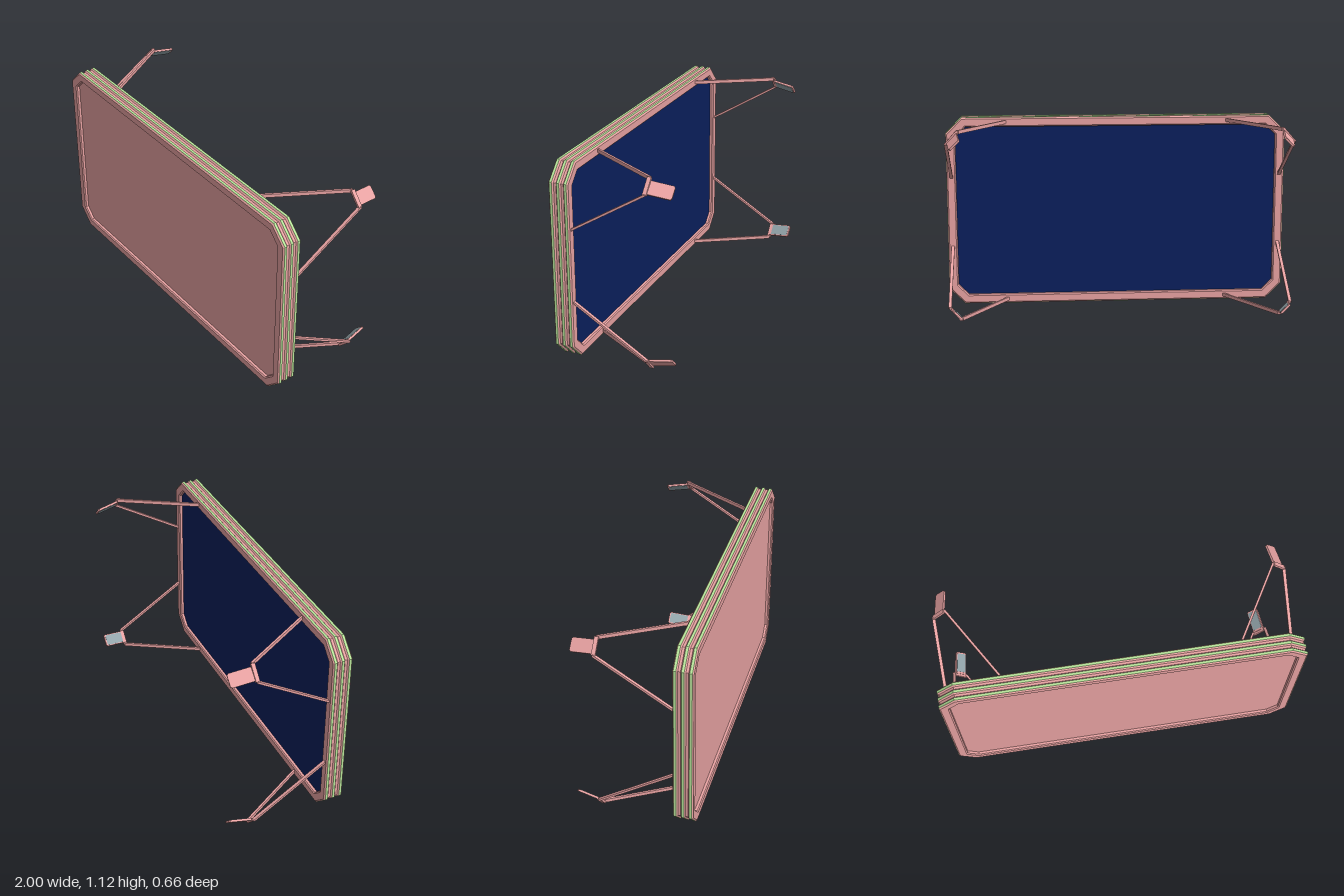
import * as THREE from 'three';

const mat = (color) => new THREE.MeshStandardMaterial({ color, flatShading: true });
const pink = mat(0xe8a2a2), green = mat(0xb9e59b), navy = mat(0x0a1f5c), grey = mat(0x93a5ab);

const MID = 0.56, HALF_W = 0.998, HALF_H = 0.558, CHAMFER = 0.093;

// Corners of the chamfered rectangle, pulled inwards by an even margin
function octagon(inset) {
  const a = HALF_W - inset, b = HALF_H - inset, c = CHAMFER - inset * (2 - Math.SQRT2);
  return [[a, c - b], [a, b - c], [a - c, b], [c - a, b], [-a, b - c], [-a, c - b], [c - a, -b], [a - c, -b]]
    .map(([x, y]) => new THREE.Vector2(x, y + MID));
}

// Skin over octagonal rings given as [inset, z]
function loft(name, rings, material) {
  const pos = [], index = [];
  rings.forEach(([inset, z]) => octagon(inset).forEach((p) => pos.push(p.x, p.y, z)));
  for (let k = 0; k < rings.length - 1; k++) {
    for (let i = 0; i < 8; i++) {
      const a = k * 8 + i, b = k * 8 + (i + 1) % 8, c = a + 8, d = b + 8;
      index.push(a, c, b, b, c, d);
    }
  }
  const geo = new THREE.BufferGeometry();
  geo.setAttribute('position', new THREE.Float32BufferAttribute(pos, 3));
  geo.setIndex(index);
  const flat = geo.toNonIndexed();
  flat.computeVertexNormals();
  const mesh = new THREE.Mesh(flat, material);
  mesh.name = name;
  return mesh;
}

// Places a mesh midway from one point to another: length on z, thickness along the "thin" direction on x
function span(mesh, from, to, thin) {
  const z = to.clone().sub(from).normalize();
  const y = z.clone().cross(thin).normalize();
  const x = y.clone().cross(z);
  mesh.quaternion.setFromRotationMatrix(new THREE.Matrix4().makeBasis(x, y, z));
  mesh.position.copy(from).add(to).multiplyScalar(0.5);
  return mesh;
}

function bar(name, from, to, thin, thickness, width) {
  const mesh = new THREE.Mesh(new THREE.BoxGeometry(thickness, width, from.distanceTo(to)), pink);
  mesh.name = name;
  return span(mesh, from, to, thin);
}

// Flat plate with clipped corners, lying across x
function plate(name, length, width, thickness, clip, material) {
  const l = length / 2, w = width / 2;
  const shape = new THREE.Shape([
    [-l, -w], [l - clip, -w], [l, clip - w], [l, w - clip], [l - clip, w], [-l, w],
  ].map(([x, y]) => new THREE.Vector2(x, y)));
  const geo = new THREE.ExtrudeGeometry(shape, { depth: thickness, bevelEnabled: false });
  geo.translate(0, 0, -thickness / 2).rotateY(-Math.PI / 2);
  const mesh = new THREE.Mesh(geo, material);
  mesh.name = name;
  return mesh;
}

// Two struts, a cross bracket and an inward-leaning paddle for one corner
function cornerArm(sx, sy) {
  const arm = new THREE.Group();
  arm.name = (sy > 0 ? 'upper' : 'lower') + (sx > 0 ? 'Left' : 'Right') + 'Arm';
  const at = (x, y, z) => new THREE.Vector3(sx * x, MID + sy * (y - MID), z);
  const sideways = new THREE.Vector3(1, 0, 0), upright = new THREE.Vector3(0, 1, 0);
  const outward = new THREE.Vector3(sx, sy, 0).normalize();

  arm.add(
    bar('sideStrut', at(0.97, 0.765, 0.225), at(0.97, 1.028, -0.2), sideways, 0.018, 0.012),
    bar('edgeStrut', at(0.647, 1.092, 0.225), at(0.903, 1.092, -0.2), upright, 0.02, 0.012),
    bar('bracket', at(0.97, 1.025, -0.196), at(0.905, 1.098, -0.196), outward, 0.014, 0.022),
  );

  const base = at(0.935, 1.055, -0.2), tip = at(0.916, 1.036, -0.331);
  const length = base.distanceTo(tip);
  const paddle = span(plate('paddle', length, 0.076, 0.012, 0.008, pink), base, tip, outward);
  const pad = span(plate('paddlePad', length - 0.02, 0.064, 0.002, 0.006, grey), base, tip, outward);
  pad.position.addScaledVector(outward, -0.0065);
  arm.add(paddle, pad);
  return arm;
}

export function createModel() {
  const model = new THREE.Group();
  const front = 0.3295, back = 0.2175, depth = 0.02;
  const layers = [0.3155, 0.2735, 0.2315];

  // Frame profile: inner front lip, three bevelled layers with grooves, inner back lip
  const rings = [[0.055, front - depth], [0.054, front - 0.006], [0.047, front]];
  layers.forEach((z) => rings.push(
    [0.008, z + 0.014], [0.001, z + 0.008], [0.001, z - 0.008], [0.008, z - 0.014],
  ));
  rings.push([0.047, back], [0.054, back + 0.006], [0.055, back + depth]);
  model.add(loft('frame', rings, pink));

  // Coloured edge stripe on each layer
  layers.forEach((z) => model.add(loft('edgeStripe',
    [[0.001, z + 0.008], [-0.001, z + 0.007], [-0.001, z - 0.007], [0.001, z - 0.008]], green)));

  // Recessed panels
  const panelGeo = new THREE.ShapeGeometry(new THREE.Shape(octagon(0.054)));
  const frontPanel = new THREE.Mesh(panelGeo, pink);
  frontPanel.name = 'frontPanel';
  frontPanel.position.z = front - depth;
  const backPanel = new THREE.Mesh(panelGeo, navy);
  backPanel.name = 'backPanel';
  backPanel.rotation.y = Math.PI;
  backPanel.position.z = back + depth;
  model.add(frontPanel, backPanel);

  for (const sx of [1, -1]) for (const sy of [1, -1]) model.add(cornerArm(sx, sy));
  return model;
}
